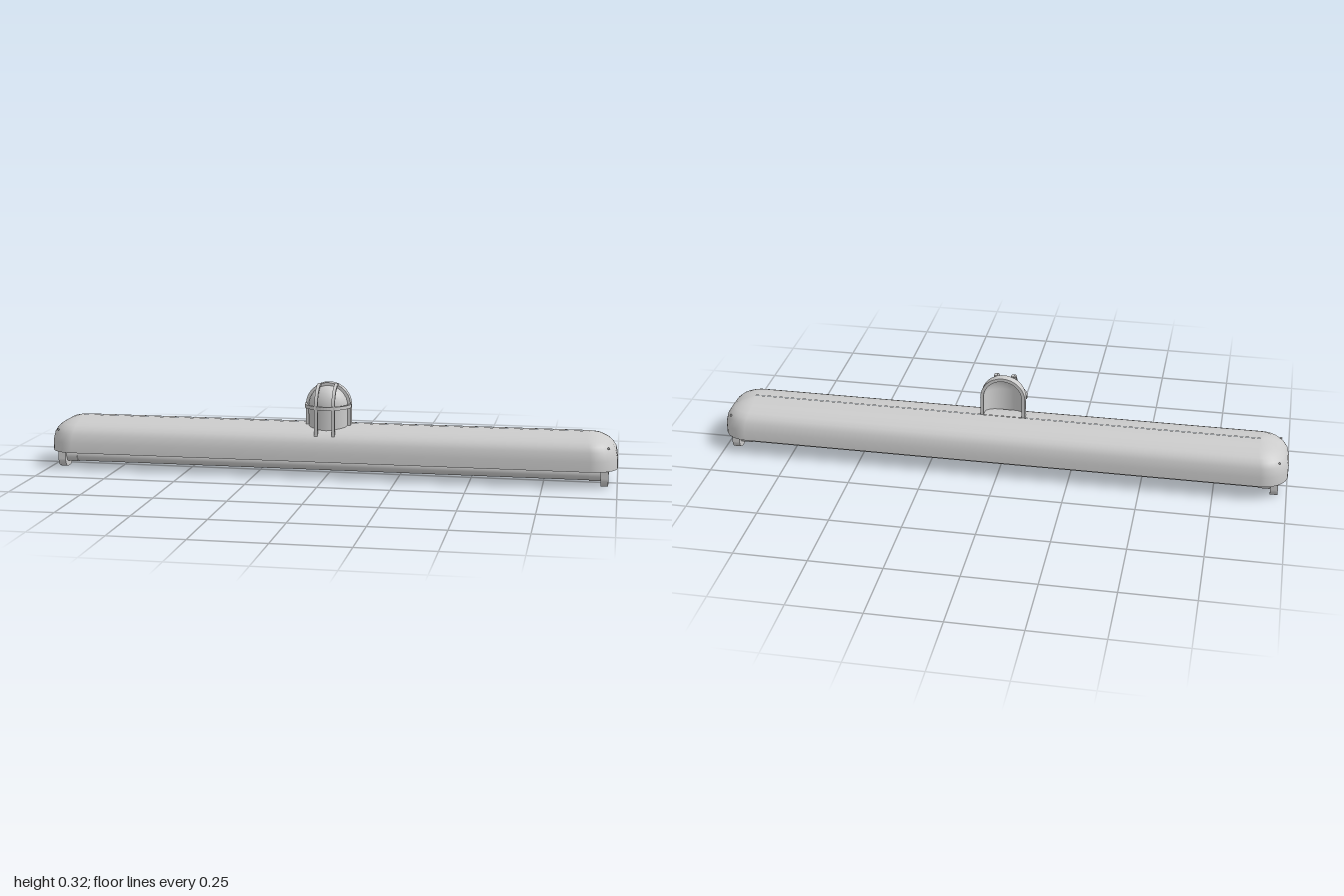
import * as THREE from 'three';

const mat = new THREE.MeshStandardMaterial({ color: 0xcccccc });
const thinMat = new THREE.MeshStandardMaterial({ color: 0xcccccc, side: THREE.DoubleSide });

function add(parent, name, geometry, x = 0, y = 0, z = 0, material = mat) {
  const m = new THREE.Mesh(geometry, material);
  m.name = name;
  m.position.set(x, y, z);
  parent.add(m);
  return m;
}

// Plan outline of the housing: rectangle with elliptical corners
function planOutline(L, W) {
  const pts = [], rx = 0.09 * W / 0.126, rz = 0.7 * W, n = 8;
  for (let q = 0; q < 4; q++) {
    const sx = q === 0 || q === 3 ? 1 : -1, sz = q < 2 ? 1 : -1;
    for (let i = 0; i <= n; i++) {
      const a = (q + i / n) * Math.PI / 2;
      pts.push([sx * (L - rx) + rx * Math.cos(a), sz * (W - rz) + rz * Math.sin(a)]);
    }
  }
  return pts;
}

// Domed housing lofted through stacked outlines
function housingGeometry() {
  const levels = [ // y, half length, half width
    [0.06, 1, 0.126], [0.095, 1, 0.126], [0.125, 0.993, 0.12], [0.142, 0.982, 0.11],
    [0.155, 0.968, 0.096], [0.168, 0.945, 0.07], [0.175, 0.92, 0.035], [0.178, 0.9, 0.001],
  ];
  const pos = [], idx = [];
  let n = 0;
  levels.forEach(([y, L, W], i) => {
    const ring = planOutline(L, W);
    n = ring.length;
    ring.forEach(([x, z]) => pos.push(x, y, z));
    if (i === 0) return;
    for (let j = 0; j < n; j++) {
      const k = (j + 1) % n, lo = (i - 1) * n, hi = i * n;
      idx.push(lo + j, hi + j, lo + k, hi + j, hi + k, lo + k);
    }
  });
  const g = new THREE.BufferGeometry();
  g.setAttribute('position', new THREE.Float32BufferAttribute(pos, 3));
  g.setIndex(idx);
  g.computeVertexNormals();
  return g;
}

// Upright stadium: half circles joined by straight sides
const LOW = 0.115, HIGH = 0.245;
function stadium(path, r) {
  path.absarc(0, HIGH, r, 0, Math.PI, false);
  path.absarc(0, LOW, r, Math.PI, Math.PI * 2, false);
  path.closePath();
  return path;
}

function extrude(shape, depth) {
  return new THREE.ExtrudeGeometry(shape, { depth, bevelEnabled: false, curveSegments: 12 });
}

// Cage rib in side profile, running from top over the front to the bottom
function ribGeometry() {
  const s = new THREE.Shape(), w = 0.011, z0 = 0.028;
  s.moveTo(z0, LOW - 0.077);
  s.absarc(z0, LOW, 0.077, -Math.PI / 2, 0, false);
  s.absarc(z0, HIGH, 0.077, 0, Math.PI / 2, false);
  s.absarc(z0, HIGH, 0.069, Math.PI / 2, 0, true);
  s.absarc(z0, LOW, 0.069, 0, -Math.PI / 2, true);
  return extrude(s, w).translate(0, 0, -w / 2).rotateY(-Math.PI / 2);
}

// Half hoop around the front of the cage
function hoopGeometry() {
  const s = new THREE.Shape(), h = 0.012;
  s.absarc(0, 0, 0.082, 0, Math.PI, false);
  s.absarc(0, 0, 0.073, Math.PI, 0, true);
  return extrude(s, h).translate(0, 0, -h / 2).rotateX(Math.PI / 2);
}

// Tube holder with rounded lower corners
function holderGeometry() {
  const s = new THREE.Shape(), w = 0.04, r = 0.032, d = 0.026;
  s.moveTo(-w, 0.07);
  s.lineTo(-w, r);
  s.absarc(-w + r, r, r, Math.PI, Math.PI * 1.5, false);
  s.absarc(w - r, r, r, -Math.PI / 2, 0, false);
  s.lineTo(w, 0.07);
  return extrude(s, d).translate(0, 0, -d / 2).rotateY(Math.PI / 2);
}

export function createModel() {
  const model = new THREE.Group();
  model.name = 'lightFixture';

  // Housing with flat underside
  add(model, 'housing', housingGeometry());
  const base = new THREE.Shape(planOutline(1, 0.126).map(([x, z]) => new THREE.Vector2(x, z)));
  add(model, 'housingUnderside', new THREE.ShapeGeometry(base).rotateX(Math.PI / 2), 0, 0.06, 0, thinMat);

  // Twin tubes with end caps, holders and end screws
  const tube = new THREE.CylinderGeometry(0.026, 0.026, 1.89, 20).rotateZ(Math.PI / 2);
  const cap = new THREE.CylinderGeometry(0.028, 0.028, 0.04, 20).rotateZ(Math.PI / 2);
  const holder = holderGeometry();
  const screw = new THREE.SphereGeometry(0.004, 8, 6);
  for (const sz of [1, -1]) {
    add(model, 'tube', tube, 0, 0.044, sz * 0.051);
    for (const sx of [1, -1]) {
      add(model, 'tubeCap', cap, sx * 0.925, 0.044, sz * 0.051);
      add(model, 'tubeHolder', holder, sx * 0.957, 0, sz * 0.051);
      add(model, 'endScrew', screw, sx * 0.968, 0.137, sz * 0.09);
    }
  }

  // Caged half lamp passing through the middle of the housing
  const lamp = new THREE.Group();
  lamp.name = 'cagedLamp';
  model.add(lamp);
  const frame = stadium(new THREE.Shape(), 0.079);
  frame.holes.push(stadium(new THREE.Path(), 0.068));
  add(lamp, 'lampFrame', extrude(frame, 0.03));

  const profile = [], r = 0.069;
  for (let i = 0; i <= 16; i++) {
    const a = -Math.PI / 2 + Math.PI * (i < 8 ? i / 8 : i - 1 < 8 ? 0.5 : (i - 8) / 8);
    if (i <= 8) profile.push(new THREE.Vector2(r * Math.cos(-Math.PI / 2 + i * Math.PI / 16), LOW + r * Math.sin(-Math.PI / 2 + i * Math.PI / 16)));
    if (i >= 8) profile.push(new THREE.Vector2(r * Math.cos((i - 8) * Math.PI / 16), HIGH + r * Math.sin((i - 8) * Math.PI / 16)));
  }
  const glass = new THREE.LatheGeometry(profile, 16, -Math.PI / 2, Math.PI).scale(1, 1, 0.052 / r);
  add(lamp, 'lampGlass', glass, 0, 0, 0.028, thinMat);

  const rib = ribGeometry(), hoop = hoopGeometry();
  for (const x of [0.03, -0.03]) add(lamp, 'cageRib', rib, x);
  for (const y of [HIGH, LOW]) add(lamp, 'cageHoop', hoop, 0, y, 0.029);

  return model;
}
